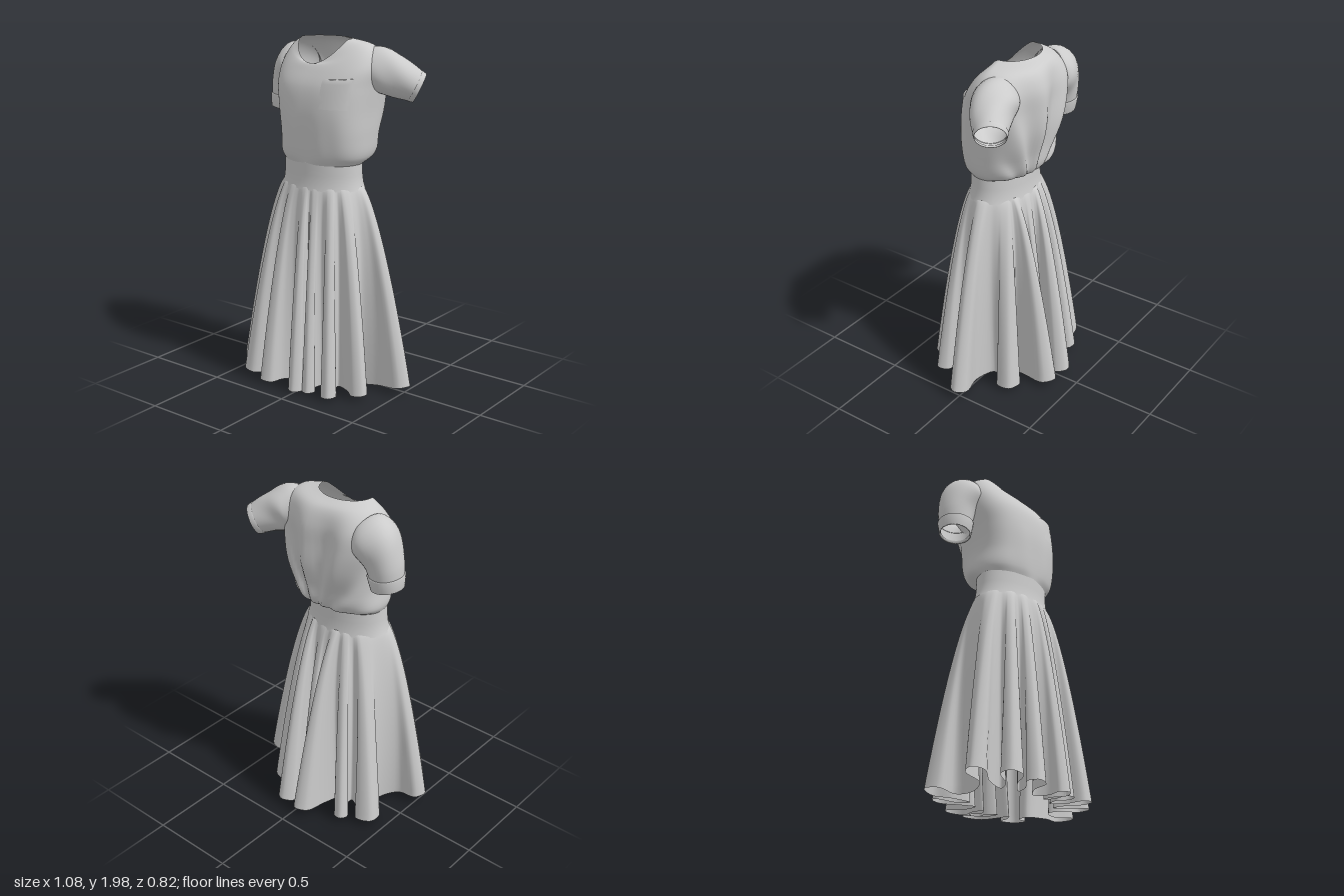
import * as THREE from 'three';

const V = (x, y, z) => new THREE.Vector3(x, y, z);
const cloth = new THREE.MeshStandardMaterial({ color: 0xcccccc, side: THREE.DoubleSide });

// Surface through rows of points, bottom row first; closed rows wrap round.
function loft(name, rows, closed = true) {
  const n = rows[0].length, pos = [], idx = [];
  rows.forEach(r => r.forEach(p => pos.push(p.x, p.y, p.z)));
  for (let j = 0; j < rows.length - 1; j++) {
    for (let i = 0; i < (closed ? n : n - 1); i++) {
      const a = j * n + i, b = j * n + (i + 1) % n;
      idx.push(a, a + n, b, b, a + n, b + n);
    }
  }
  const geo = new THREE.BufferGeometry();
  geo.setAttribute('position', new THREE.Float32BufferAttribute(pos, 3));
  geo.setIndex(idx);
  geo.computeVertexNormals();
  const mesh = new THREE.Mesh(geo, cloth);
  mesh.name = name;
  return mesh;
}
const steps = (n, fn) => Array.from({ length: n + 1 }, (_, i) => fn(i / n));
const around = (n, fn) => Array.from({ length: n }, (_, i) => fn(i / n * Math.PI * 2));

// ---- Skirt: the waist ellipse blends into a hem of rounded flutes ----
const CX = -0.045, CZ = 0.05, RX = 0.247, RZ = 0.165;
const onWaist = (a, s = 1, y = 1.19) => V(CX + RX * s * Math.cos(a), y, CZ + RZ * s * Math.sin(a));

// Flutes: tip x, tip z, half width, turn of the root
const FLUTES = [
  [0.54, 0.01, 0.054, 0], [0.39, 0.25, 0.048, 0], [0.235, 0.38, 0.044, -0.15],
  [0.08, 0.375, 0.037, 0], [0, 0.408, 0.043, 0.05], [-0.245, 0.398, 0.052, 0],
  [-0.41, 0.348, 0.058, 0], [-0.54, 0.19, 0.054, 0], [-0.445, -0.215, 0.075, 0],
  [-0.285, -0.305, 0.04, 0], [-0.02, -0.415, 0.057, -0.25], [0.035, -0.3, 0.03, 0],
  [0.095, -0.405, 0.06, 0.35], [0.31, -0.22, 0.07, 0],
];

function skirt() {
  let last = -1;
  const angles = FLUTES.map(([x, z, , turn]) => {
    let a = Math.atan2((z - CZ) / RZ, (x - CX) / RX) + turn;
    while (a < last) a += Math.PI * 2;
    return (last = a);
  });
  const hemPts = [], waistPts = [], N = FLUTES.length;
  const lerp = THREE.MathUtils.lerp;
  FLUTES.forEach(([x, z, w], i) => {
    const a = angles[i];
    const prev = i ? angles[i - 1] : angles[N - 1] - Math.PI * 2;
    const next = i < N - 1 ? angles[i + 1] : angles[0] + Math.PI * 2;
    const m0 = (prev + a) / 2, m1 = (a + next) / 2;
    const root = onWaist(a, 1.12, 0), tip = V(x, 0, z);
    const d = tip.clone().sub(root), len = d.length();
    d.normalize();
    const side = V(-d.z, 0, d.x);
    const at = (along, across) => root.clone().addScaledVector(d, along).addScaledVector(side, across);
    hemPts.push(onWaist(m0, 1.13, 0), at(len * 0.35, -w * 0.5), at(len - w * 0.85, -w), tip,
      at(len - w * 0.85, w), at(len * 0.35, w * 0.5));
    [m0, lerp(m0, a, 0.35), lerp(m0, a, 0.7), a, lerp(a, m1, 0.3), lerp(a, m1, 0.65)]
      .forEach(b => waistPts.push(onWaist(b)));
  });
  const hem = new THREE.CatmullRomCurve3(hemPts, true);
  const waist = new THREE.CatmullRomCurve3(waistPts, true);
  const outline = new THREE.CatmullRomCurve3(FLUTES.map(([x, z]) => V(x, 0, z)), true);
  const cols = N * 6 * 5;
  const columns = Array.from({ length: cols }, (_, i) => {
    const u = i / cols, h = hem.getPoint(u);
    h.y = 0.055 * (h.x / 0.54) ** 2 + (h.z < 0 ? 0.05 * (h.z / 0.41) ** 2 : 0.015 * h.z / 0.4);
    return [waist.getPoint(u), h, outline.getPoint((u - 0.5 / N + 1) % 1)];
  });
  // Folds are shallow below the waist and deepen toward the hem
  return loft('skirt', steps(36, s => {
    const t = (1 - s) ** 1.5, f = t ** 0.66, depth = 0.45 + 0.55 * t;
    const mix = (w, h, o) => w + (o + (h - o) * depth - w) * f;
    return columns.map(([w, h, o]) => V(mix(w.x, h.x, o.x), w.y + (h.y - w.y) * t, mix(w.z, h.z, o.z)));
  }));
}

// ---- Bodice sections: y, xMin, xMax, zBack, zFront, front dip, roundness ----
const SECTIONS = [
  [1.305, -0.285, 0.197, -0.11, 0.212, 0, 1],
  [1.355, -0.305, 0.235, -0.18, 0.222, 0, 0.8],
  [1.47, -0.3, 0.25, -0.205, 0.23, 0, 0.72],
  [1.61, -0.318, 0.258, -0.235, 0.23, 0, 0.7],
  [1.74, -0.345, 0.27, -0.24, 0.208, 0, 0.72],
  [1.86, -0.345, 0.28, -0.235, 0.168, 0.04, 0.78],
  [1.95, -0.3, 0.23, -0.2, 0.14, 0.09, 0.88],
  [1.99, -0.235, 0.09, -0.13, 0.125, 0.13, 1],
];

function bodicePoint(angle, v, out = 0) {
  const c = Math.cos(angle), s = Math.sin(angle);
  const p = new THREE.CatmullRomCurve3(SECTIONS.map(([y, x0, x1, z0, z1, dip, k]) => V(
    (x0 + x1) / 2 + (x1 - x0) / 2 * Math.sign(c) * Math.abs(c) ** k,
    y - dip * Math.max(0, s) ** 1.5,
    (z0 + z1) / 2 + (z1 - z0) / 2 * Math.sign(s) * Math.abs(s) ** k))).getPoint(v);
  // Folds fan out from the waist, strongest across the back
  const fade = Math.sin(Math.PI * Math.min(1, v * 1.02));
  if (s < 0) {
    const fan = Math.atan2(p.x - 0.02, p.y - 1.2);
    p.z -= 0.02 * Math.cos(fan * 15) * -s * fade;
  } else {
    p.z += 0.008 * Math.sin(p.x * 38) * s * Math.max(0, 1 - v * 2.2) * fade;
  }
  p.x += c * out;
  p.z += s * out;
  return p;
}

// ---- Sleeve: tube of changing radius with a narrow turned edge ----
function sleeve(name, path, radii, cuffStart, thick) {
  const group = new THREE.Group();
  group.name = name;
  const curve = new THREE.CatmullRomCurve3(path.map(p => V(...p)));
  const radiusCurve = new THREE.CatmullRomCurve3(radii.map((r, i) => V(i, r, 0)));
  const ring = (t, extra) => {
    const tan = curve.getTangent(t), c = curve.getPoint(t), r = radiusCurve.getPoint(t).y + extra;
    const u = V(0, 0, 1).addScaledVector(tan, -tan.z).normalize();
    const w = u.clone().cross(tan);
    return around(36, a => {
      const k = r * (1 + 0.03 * Math.sin(a * 4 + t * 7) * Math.sin(Math.PI * t));
      return c.clone().addScaledVector(u, k * Math.cos(a)).addScaledVector(w, k * Math.sin(a));
    });
  };
  group.add(
    loft('sleeveTube', steps(18, t => ring(t, 0))),
    loft('cuff', [[cuffStart, -0.002], [cuffStart + 0.01, thick], [1, thick], [1, 0], [0.97, -0.004]]
      .map(([t, e]) => ring(t, e))));
  return group;
}

export function createModel() {
  const model = new THREE.Group();
  model.name = 'dress';
  model.add(skirt());

  // Waistband
  model.add(loft('waistband',
    [[1.165, 1.07], [1.2, 1.025], [1.25, 1.0], [1.315, 0.995], [1.322, 0.985], [1.318, 0.95]]
      .map(([y, s]) => around(72, a => onWaist(a, s, y)))));

  // Bodice, open at the neck
  model.add(loft('bodice', steps(42, v => around(120, a => bodicePoint(a, v)))));

  // Chest pocket, standing proud only along its top edge
  model.add(loft('pocket',
    [[0.45, 0], [0.55, 0.002], [0.61, 0.006], [0.65, 0.012], [0.652, 0]]
      .map(([v, out]) => steps(12, s =>
        bodicePoint(0.68 + 0.7 * s, v, 0.001 + out * Math.sin(Math.PI * s) ** 0.4))), false));

  // Sleeves: the right one hangs, the left one is raised outward and back
  model.add(sleeve('rightSleeve',
    [[-0.265, 1.835, -0.07], [-0.325, 1.81, -0.08], [-0.388, 1.71, -0.08], [-0.41, 1.555, -0.07]],
    [0.115, 0.138, 0.108, 0.085], 0.84, 0.008));
  model.add(sleeve('leftSleeve',
    [[0.15, 1.845, -0.07], [0.25, 1.825, -0.09], [0.34, 1.785, -0.13], [0.435, 1.73, -0.195]],
    [0.108, 0.128, 0.112, 0.084], 0.92, 0.003));
  return model;
}
